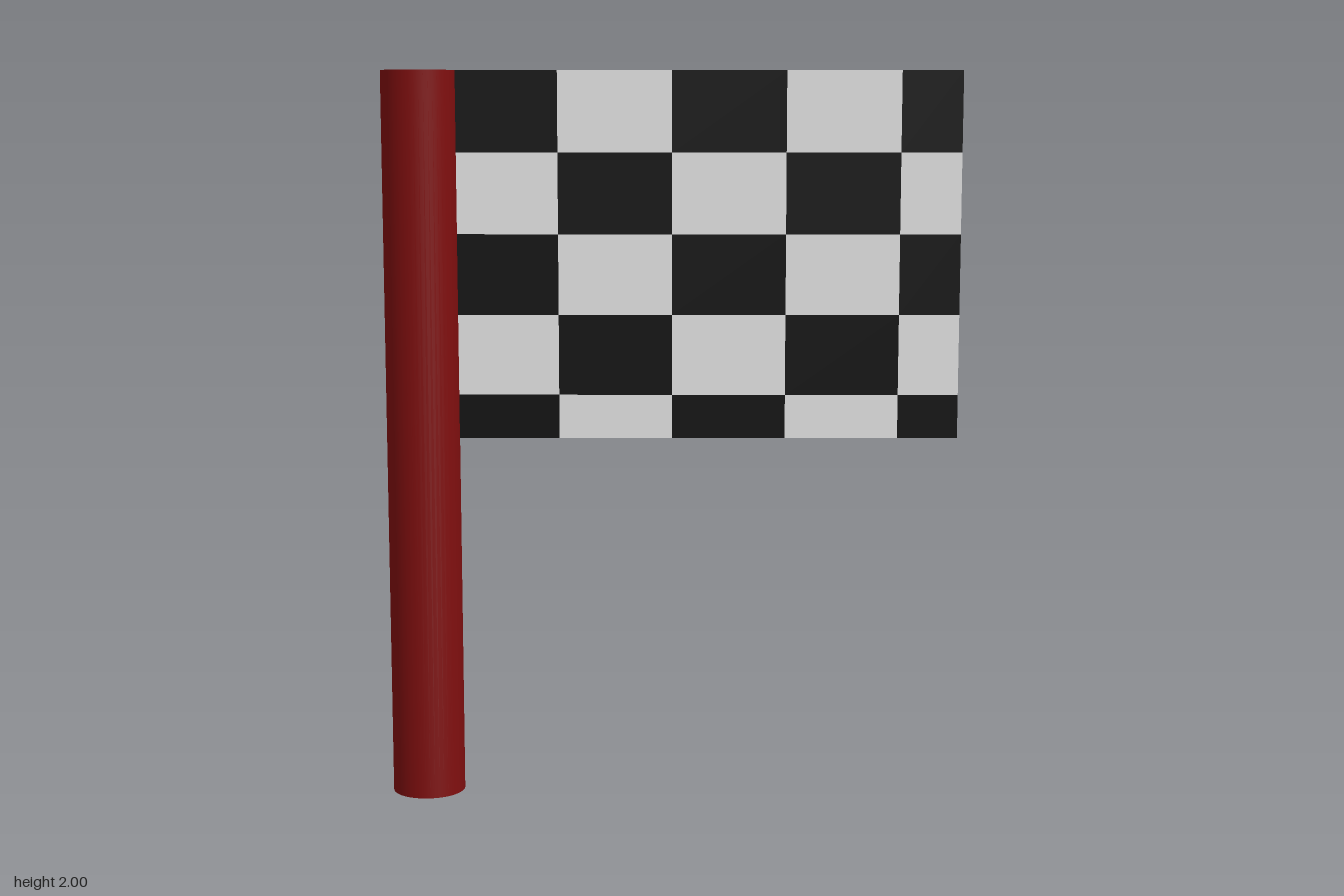
import * as THREE from 'three';
import { mergeGeometries } from 'three/addons/utils/BufferGeometryUtils.js';

const material = (name, color, side = THREE.FrontSide) =>
  new THREE.MeshStandardMaterial({ name, color, side });

export function createModel() {
  const model = new THREE.Group();
  model.name = 'checkeredFlag';

  const red = material('dark red', 0x800f0f);
  const black = material('black', 0x101010, THREE.DoubleSide);
  const white = material('white', 0xf2f2f2, THREE.DoubleSide);

  // Pole: smooth capped cylinder
  const pole = new THREE.Mesh(new THREE.CylinderGeometry(0.1, 0.1, 2, 48), red);
  pole.name = 'pole';
  pole.position.set(-0.685, 1, 0);
  model.add(pole);

  // Flag cloth: flat checks, the last column and row cut short
  const xs = [-0.6, -0.31, 0, 0.31, 0.62, 0.785];
  const ys = [2, 1.78, 1.56, 1.34, 1.12, 1];
  const checks = [[], []];
  for (let row = 0; row < ys.length - 1; row++) {
    for (let col = 0; col < xs.length - 1; col++) {
      const check = new THREE.PlaneGeometry(xs[col + 1] - xs[col], ys[row] - ys[row + 1]);
      check.translate((xs[col] + xs[col + 1]) / 2, (ys[row] + ys[row + 1]) / 2, 0);
      checks[(row + col) % 2].push(check);
    }
  }

  const flag = new THREE.Group();
  flag.name = 'flag';
  [['blackChecks', black], ['whiteChecks', white]].forEach(([name, mat], i) => {
    const mesh = new THREE.Mesh(mergeGeometries(checks[i]), mat);
    mesh.name = name;
    flag.add(mesh);
  });
  model.add(flag);

  return model;
}
